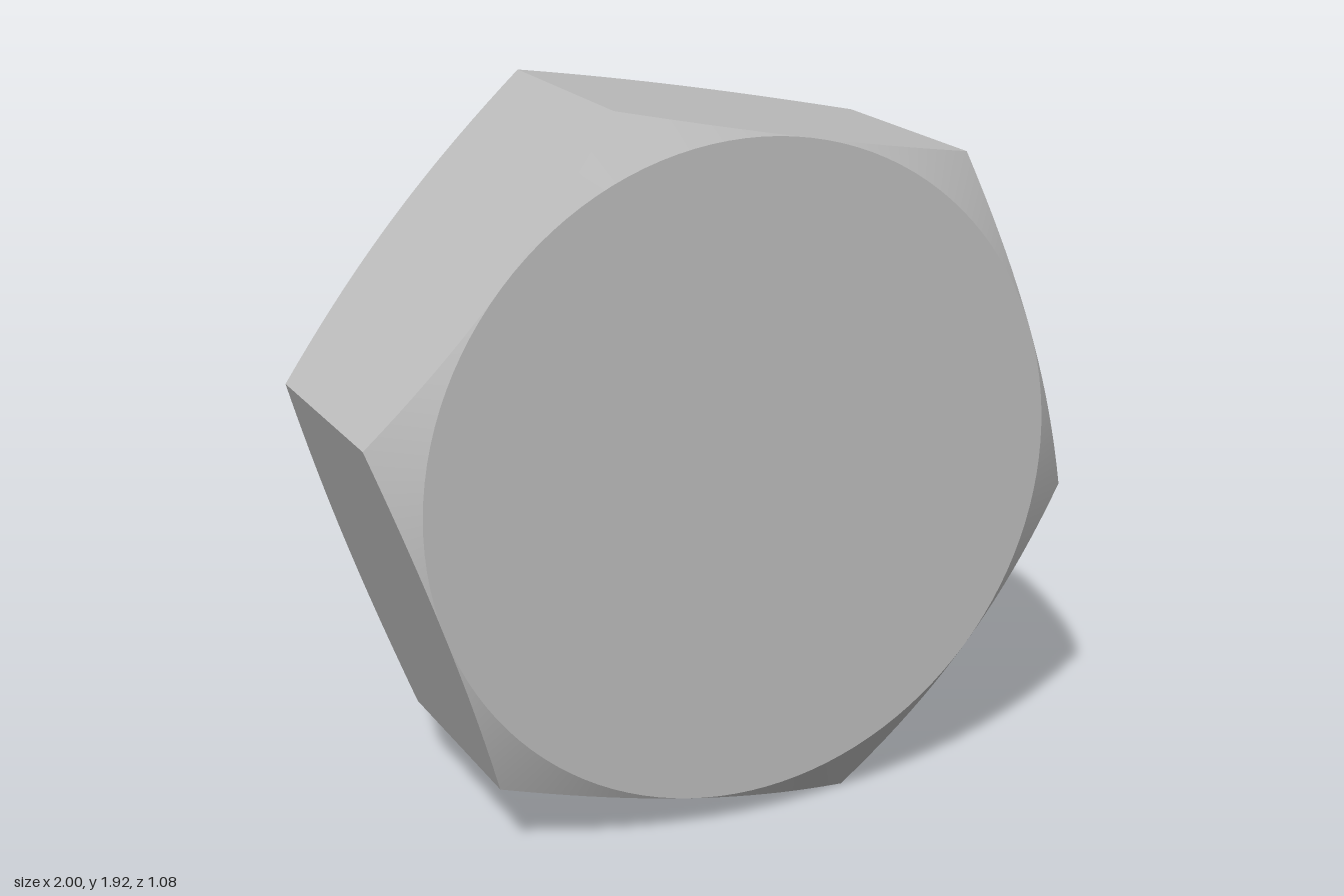
import * as THREE from 'three';

const APOTHEM = 0.881, CORNER = APOTHEM / Math.cos(Math.PI / 6);
const TURN = THREE.MathUtils.degToRad(-10.75);   // tilt of the first hexagon corner
const PER_SIDE = 20, COUNT = PER_SIDE * 6;
const FRONT = 0.54, BACK = -0.54, BACK_EDGE = -0.227, BACK_RADIUS = 0.565;
const SLOPE = Math.tan(Math.PI / 6);             // 30 degree chamfer

// Angle, measured from the first corner, of step i around the hexagon
const angleAt = i => (i / COUNT) * Math.PI * 2;

// Distance from the axis to the hexagon outline at step i
function hexRadius(i) {
  const local = ((i % PER_SIDE) / PER_SIDE - 0.5) * Math.PI / 3;
  return APOTHEM / Math.cos(local);
}

// Ring of points; radius and depth are functions of the step
function ring(radius, depth) {
  return Array.from({ length: COUNT }, (_, i) => {
    const r = radius(i), a = angleAt(i) + TURN;
    return [r * Math.cos(a), r * Math.sin(a), depth(i)];
  });
}

// Skin between two point rows, the first nearer the front
function loft(a, b, closed = true) {
  const n = a.length, index = [];
  for (let i = 0; i < (closed ? n : n - 1); i++) {
    const j = (i + 1) % n;
    index.push(i, n + i, n + j, i, n + j, j);
  }
  const g = new THREE.BufferGeometry();
  g.setAttribute('position', new THREE.Float32BufferAttribute([...a, ...b].flat(), 3));
  g.setIndex(index);
  g.computeVertexNormals();
  return g;
}

export function createModel() {
  const group = new THREE.Group();
  group.name = 'hexNut';
  const steel = new THREE.MeshStandardMaterial({ color: 0xc0c0c0 });
  steel.name = 'steel grey';

  const add = (name, geometry) => {
    const mesh = new THREE.Mesh(geometry, steel);
    mesh.name = name;
    mesh.position.y = CORNER * Math.cos(THREE.MathUtils.degToRad(19.25));
    group.add(mesh);
  };

  const frontCentre = ring(() => 0, () => FRONT);
  const frontCircle = ring(() => APOTHEM, () => FRONT);
  const frontEdge = ring(hexRadius, i => FRONT - (hexRadius(i) - APOTHEM) * SLOPE);
  const backEdge = ring(hexRadius, i => BACK_EDGE + (hexRadius(i) - APOTHEM) * SLOPE);
  const backCircle = ring(() => BACK_RADIUS, () => BACK);
  const backCentre = ring(() => 0, () => BACK);

  // Front face and its shallow corner chamfers
  add('frontFace', loft(frontCentre, frontCircle));
  add('frontChamfer', loft(frontCircle, frontEdge));

  // Six flat sides with bowed ends
  for (let s = 0; s < 6; s++) {
    const row = edge => Array.from({ length: PER_SIDE + 1 },
      (_, k) => edge[(s * PER_SIDE + k) % COUNT]);
    add('flatSide' + (s + 1), loft(row(frontEdge), row(backEdge), false));
  }

  // Tapered back running from the hexagon to the small round face
  add('backTaper', loft(backEdge, backCircle));
  add('backFace', loft(backCircle, backCentre));

  return group;
}
